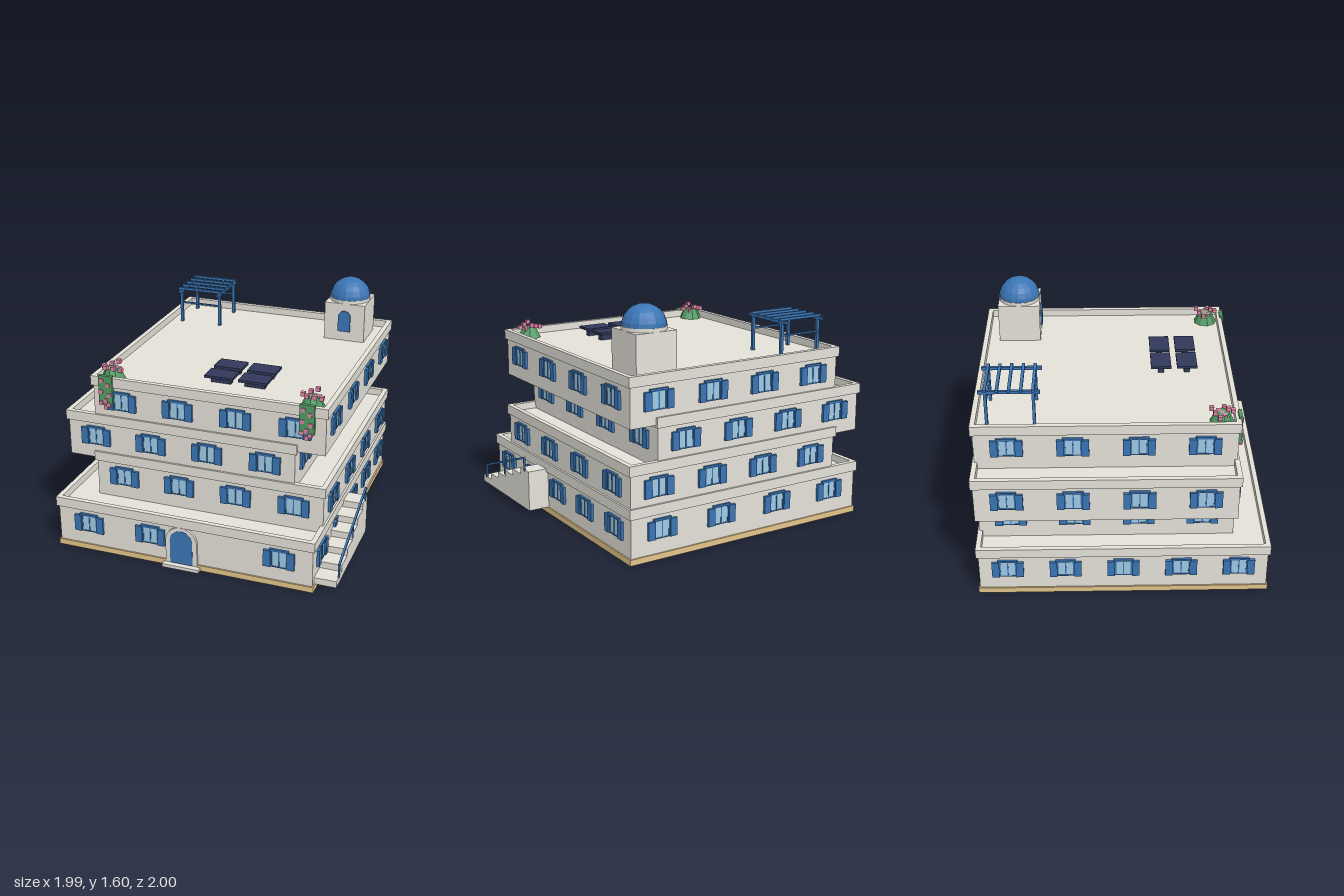
import * as THREE from 'three';

const mat = (name, color, extra = {}) => {
  const m = new THREE.MeshStandardMaterial({ color, ...extra });
  m.name = name;
  return m;
};

export function createModel() {
  const model = new THREE.Group();
  model.name = 'terracedHouse';
  const wall = mat('limewash', 0xe4e1d8);
  const sand = mat('sandstone', 0xe2c48a);
  const blue = mat('paintedBlue', 0x3a75b5);
  const domeBlue = mat('domeBlue', 0x3a75b5, { flatShading: true });
  const glass = mat('windowGlass', 0xa0cae4);
  const panel = mat('solarPanel', 0x30385a);
  const green = mat('foliage', 0x529c64, { flatShading: true });
  const pink = mat('blossom', 0xe283a8);

  const add = (parent, name, geo, material, x = 0, y = 0, z = 0) => {
    const m = new THREE.Mesh(geo, material);
    m.name = name;
    m.position.set(x, y, z);
    parent.add(m);
    return m;
  };
  // Box given by its lower and upper corners
  const box = (parent, name, material, x0, x1, y0, y1, z0, z1) =>
    add(parent, name, new THREE.BoxGeometry(x1 - x0, y1 - y0, z1 - z0), material,
      (x0 + x1) / 2, (y0 + y1) / 2, (z0 + z1) / 2);
  const group = (parent, name) => {
    const g = new THREE.Group();
    g.name = name;
    parent.add(g);
    return g;
  };

  // Round-headed outline standing on y = 0
  const archPath = (Path, r, height) => {
    const p = new Path();
    p.moveTo(-r, 0);
    p.lineTo(r, 0);
    p.lineTo(r, height - r);
    p.absarc(0, height - r, r, 0, Math.PI, false);
    p.lineTo(-r, 0);
    return p;
  };
  const extrude = (shape, depth) =>
    new THREE.ExtrudeGeometry(shape, { depth, bevelEnabled: false, curveSegments: 10 });

  // Hollow parapet around a roof terrace
  const parapet = (parent, x0, x1, z0, z1, y0, y1, t = 0.034) => {
    const rect = (p, a, b, c, d) => {
      p.moveTo(a, -d);
      p.lineTo(b, -d);
      p.lineTo(b, -c);
      p.lineTo(a, -c);
      p.closePath();
      return p;
    };
    const s = rect(new THREE.Shape(), x0, x1, z0, z1);
    s.holes.push(rect(new THREE.Path(), x0 + t, x1 - t, z0 + t, z1 - t));
    add(parent, 'parapet', extrude(s, y1 - y0).rotateX(-Math.PI / 2), wall, 0, y0, 0);
  };

  // Shuttered window facing local +z, its origin at floor level on the wall
  const shuttered = (parent, x, y, z, turn) => {
    const w = group(parent, 'window');
    w.position.set(x, y, z);
    w.rotation.y = turn;
    box(w, 'pane', glass, -0.054, 0.054, 0.1, 0.22, 0, 0.006);
    for (const bx of [-0.052, 0, 0.052])
      box(w, 'glazingBar', blue, bx - 0.004, bx + 0.004, 0.1, 0.22, 0, 0.01);
    for (const by of [0.103, 0.219])
      box(w, 'frameRail', blue, -0.055, 0.055, by - 0.004, by + 0.004, 0, 0.009);
    box(w, 'lintel', blue, -0.066, 0.066, 0.222, 0.235, 0, 0.016);
    for (const s of [-1, 1])
      add(w, 'shutter', new THREE.BoxGeometry(0.05, 0.12, 0.019), blue, s * 0.081, 0.16, 0.0095);
  };

  // Four storeys, shifted against each other
  const zBack = -0.98, storey = 0.28;
  const floors = [
    { x0: -0.98, x1: 0.835, z1: 0.953, side: 5 },
    { x0: -0.78, x1: 0.835, z1: 0.735, side: 4 },
    { x0: -0.98, x1: 0.635, z1: 0.735, side: 4 },
    { x0: -0.78, x1: 0.835, z1: 0.735, side: 4 },
  ];
  box(model, 'plinth', sand, -0.99, 0.845, 0, 0.04, -0.99, 0.963);
  floors.forEach(({ x0, x1, z1, side }, i) => {
    const f = group(model, 'storey' + (i + 1));
    const y = 0.04 + i * storey, top = y + storey, o = 0.014;
    box(f, 'walls', wall, x0, x1, y, top, zBack, z1);
    parapet(f, x0 - o, x1 + o, zBack - o, z1 + o, top - 0.018, top + 0.05);
    for (let k = 0; k < 4; k++) {
      const x = x0 + (x1 - x0) * (k + 0.5) / 4;
      if (!(i === 0 && k === 2)) shuttered(f, x, y, z1, 0);
      shuttered(f, x, y, zBack, Math.PI);
    }
    for (let k = 0; k < side; k++) {
      const z = zBack + (z1 - zBack) * (k + 0.5) / side;
      shuttered(f, x1, y, z, Math.PI / 2);
      shuttered(f, x0, y, z, -Math.PI / 2);
    }
  });

  // Arched entrance
  const entrance = group(model, 'entrance');
  entrance.position.set(-0.0725, 0, 0);
  const trim = archPath(THREE.Shape, 0.112, 0.275);
  trim.holes.push(archPath(THREE.Path, 0.08, 0.245));
  add(entrance, 'archTrim', extrude(trim, 0.02), wall, 0, 0.03, 0.95);
  add(entrance, 'door', extrude(archPath(THREE.Shape, 0.08, 0.25), 0.022), blue, 0, 0.03, 0.95);
  box(entrance, 'doorstep', wall, -0.13, 0.13, 0, 0.024, 0.95, 1.0);

  // Outside stair with handrail
  const stair = group(model, 'outsideStair');
  for (let i = 0; i < 6; i++) {
    const z = 0.914 - i * 0.129;
    box(stair, 'step', wall, 0.835, 0.985, 0.04, 0.04 + (i + 1) * 0.0472, z - 0.129, z);
  }
  for (const [z, y0, y1] of [[0.853, 0.085, 0.18], [0.528, 0.2, 0.295], [0.202, 0.315, 0.41]])
    box(stair, 'railPost', blue, 0.978, 0.99, y0, y1, z - 0.006, z + 0.006);
  const rail = add(stair, 'handrail', new THREE.BoxGeometry(0.014, 0.014, 0.7), blue, 0.984, 0.295, 0.528);
  rail.rotation.x = Math.atan2(0.23, 0.652);

  // Domed roof tower
  const deck = 1.16;
  const tower = group(model, 'roofTower');
  tower.position.set(0.584, 0, -0.737);
  box(tower, 'towerWalls', wall, -0.148, 0.148, deck, 1.437, -0.148, 0.148);
  add(tower, 'drum', new THREE.CylinderGeometry(0.149, 0.149, 0.025, 16), wall, 0, 1.448, 0);
  add(tower, 'dome', new THREE.SphereGeometry(0.147, 16, 6, 0, Math.PI * 2, 0, Math.PI / 2), domeBlue, 0, 1.449, 0);
  add(tower, 'towerDoor', extrude(archPath(THREE.Shape, 0.045, 0.155), 0.014), blue, 0, 1.23, 0.146);

  // Pergola
  const pergola = group(model, 'pergola');
  for (const x of [-0.682, -0.38]) {
    for (const z of [-0.89, -0.582])
      box(pergola, 'post', blue, x - 0.01, x + 0.01, deck, 1.4, z - 0.01, z + 0.01);
    box(pergola, 'beam', blue, x - 0.01, x + 0.01, 1.392, 1.412, -0.935, -0.538);
  }
  for (let i = 0; i < 5; i++) {
    const z = -0.89 + i * 0.077;
    box(pergola, 'slat', blue, -0.705, -0.36, 1.41, 1.427, z - 0.01, z + 0.01);
  }
  for (const z of [-0.89, -0.582])
    box(pergola, 'crossRail', blue, -0.682, -0.38, 1.305, 1.316, z - 0.006, z + 0.006);

  // Solar panels on low stands
  const solar = group(model, 'solarPanels');
  for (const x of [-0.073, 0.165])
    for (const z of [0.195, 0.375]) {
      box(solar, 'panel', panel, x, x + 0.2, 1.205, 1.222, z, z + 0.14);
      box(solar, 'stand', panel, x + 0.03, x + 0.17, deck, 1.205, z + 0.05, z + 0.09);
    }

  // Flowering shrubs with a vine trailing over the parapet
  const flowers = [[0, 0], [0.26, 0.065], [1.1, 0.045], [1.9, 0.07], [2.7, 0.035],
    [3.4, 0.075], [4.2, 0.055], [4.9, 0.07], [5.6, 0.04]];
  const vineFlowers = [[-0.025, 1.19], [0.02, 1.16], [-0.03, 1.11], [0.028, 1.09], [0.0, 1.05],
    [-0.035, 1.03], [0.022, 1.02], [0.0, 1.0]];
  for (const x of [-0.682, 0.713]) {
    const g = group(model, 'floweringShrub');
    g.position.set(x, 0, 0.63);
    add(g, 'shrub', new THREE.CylinderGeometry(0.048, 0.082, 0.075, 9), green, 0, deck + 0.0375, 0);
    flowers.forEach(([a, r], i) =>
      add(g, 'blossom', new THREE.BoxGeometry(0.028, 0.028, 0.028), pink,
        Math.cos(a) * r, 1.222 + (i * 5 % 4) * 0.012, Math.sin(a) * r));
    box(g, 'vine', green, -0.05, 0.05, 1.025, 1.225, 0.105, 0.13);
    for (const [fx, fy] of vineFlowers)
      add(g, 'vineBlossom', new THREE.BoxGeometry(0.027, 0.027, 0.02), pink, fx, fy, 0.127);
  }
  return model;
}
